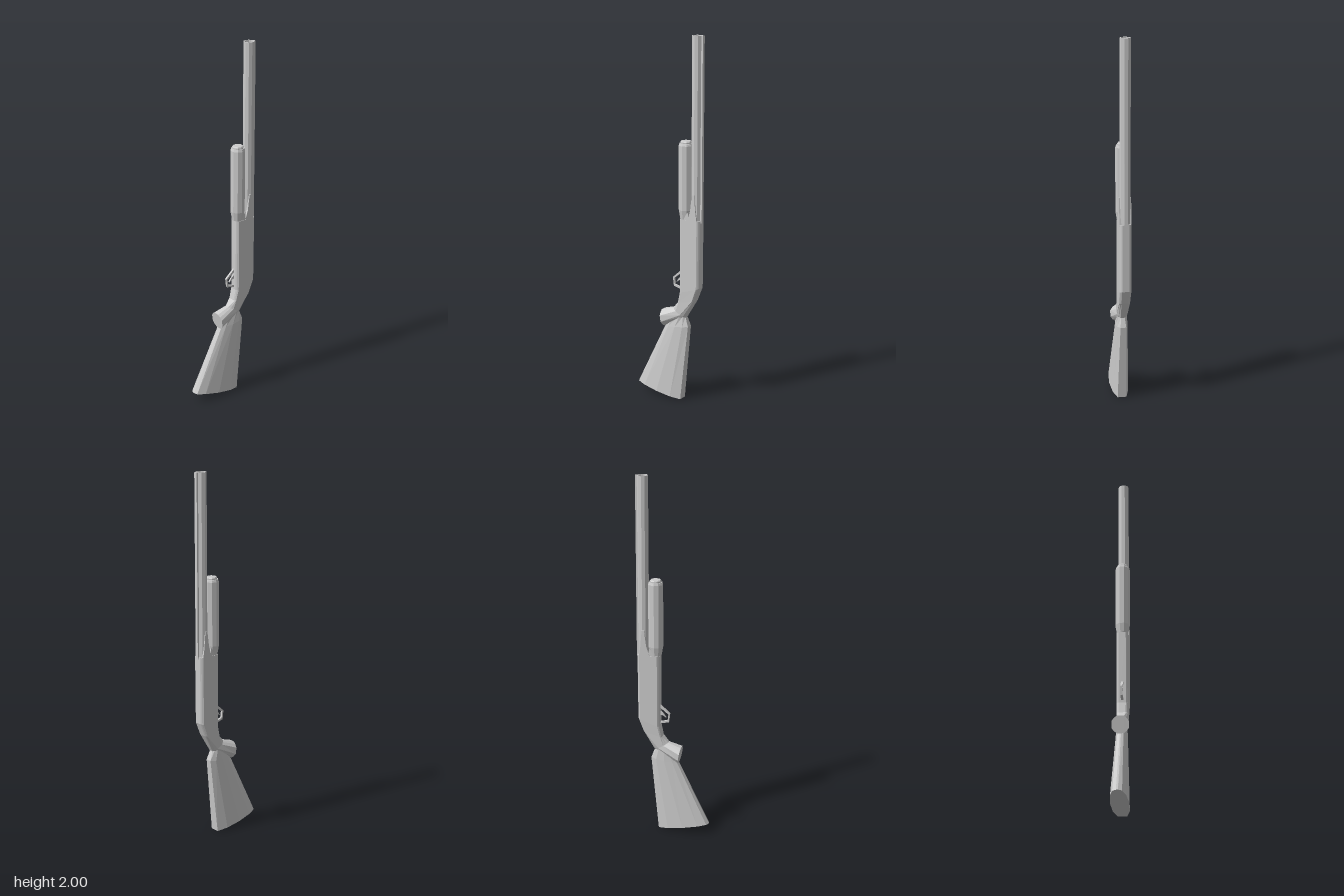
import * as THREE from 'three';

const mat = new THREE.MeshStandardMaterial({ color: 0xcccccc, flatShading: true, side: THREE.DoubleSide });

// Half cross-sections, front to back: [along depth -1..1, share of half width]
const BOXY = [[1, 0.6], [0.92, 0.82], [0.8, 1], [-0.8, 1], [-0.92, 0.82], [-1, 0.6]];
const OVAL = [[1, 0.1], [0.93, 0.5], [0.6, 0.82], [0, 1], [-0.6, 0.88], [-1, 0.5]];
const DISC = [[1, 0.38], [0.75, 0.72], [0.38, 1], [-0.38, 1], [-0.75, 0.72], [-1, 0.38]];

// Skin through sections [frontZ, frontY, backZ, backY, halfWidth, profile], top to bottom
function loft(sections) {
  const pos = [], idx = [], n = 12;
  for (const [fz, fy, bz, by, w, prof] of sections) {
    const ring = [...prof.map(([u, v]) => [u, v]), ...prof.map(([u, v]) => [u, -v]).reverse()];
    for (const [u, v] of ring) {
      const t = (1 - u) / 2;
      pos.push(v * w, fy + (by - fy) * t, fz + (bz - fz) * t);
    }
  }
  const last = (sections.length - 1) * n;
  for (let s = 0; s < last; s += n) {
    for (let i = 0; i < n; i++) {
      const j = (i + 1) % n, a = s + i, a1 = s + j, b = a + n, b1 = a1 + n;
      idx.push(b, b1, a1, b, a1, a);
    }
  }
  for (let i = 1; i < n - 1; i++) idx.push(0, i, i + 1, last, last + i + 1, last + i);
  const g = new THREE.BufferGeometry();
  g.setAttribute('position', new THREE.Float32BufferAttribute(pos, 3));
  g.setIndex(idx);
  g.computeVertexNormals();
  return g;
}

// Side outline of [z, y] points, given thickness across x
function plate(points, width, hole) {
  const toVec = (list) => list.map(([z, y]) => new THREE.Vector2(z, y));
  const shape = new THREE.Shape(toVec(points));
  if (hole) shape.holes.push(new THREE.Path(toVec(hole)));
  return new THREE.ExtrudeGeometry(shape, { depth: width, bevelEnabled: false })
    .translate(0, 0, -width / 2).rotateY(-Math.PI / 2);
}

function turned(points, sides, z) {
  return new THREE.LatheGeometry(points.map(([r, y]) => new THREE.Vector2(r, y)), sides)
    .rotateY(Math.PI / sides).translate(0, 0, z);
}

export function createModel() {
  const model = new THREE.Group();
  const add = (name, geometry, x = 0) => {
    const mesh = new THREE.Mesh(geometry, mat);
    mesh.name = name;
    mesh.position.x = x;
    model.add(mesh);
  };

  // Hollow barrel with its sighting rib
  add('barrel', turned([[0.029, 1.0], [0.029, 2], [0.024, 2], [0.024, 1.75], [0, 1.75]], 10, -0.167));
  add('barrelRib', new THREE.BoxGeometry(0.018, 0.98, 0.016).translate(0, 1.51, -0.196));

  // Sliding fore-end around the magazine tube
  add('foreEnd', turned([[0, 1.03], [0.031, 1.03], [0.04, 1.08], [0.04, 1.425], [0.036, 1.437], [0, 1.437]], 10, -0.1));
  add('magazineCap', turned([[0.031, 1.43], [0.031, 1.444], [0.027, 1.45], [0, 1.45]], 10, -0.1));

  // Receiver sweeping down through the wrist to the grip cap
  add('receiverAndGrip', loft([
    [-0.075, 1.03, -0.198, 1.03, 0.032, BOXY],
    [-0.075, 0.62, -0.196, 0.66, 0.032, BOXY],
    [-0.062, 0.56, -0.167, 0.585, 0.03, BOXY],
    [-0.03, 0.525, -0.106, 0.48, 0.03, DISC],
    [0.043, 0.502, 0.028, 0.41, 0.046, DISC],
  ]));

  // Shoulder stock
  add('stock', loft([
    [-0.02, 0.515, -0.106, 0.482, 0.026, DISC],
    [0.026, 0.412, -0.125, 0.43, 0.032, OVAL],
    [0.202, 0.055, -0.082, 0.003, 0.049, OVAL],
  ]));

  // Pointed receiver sides along the barrel, and the slide bars below them
  for (const side of [-1, 1]) {
    add('receiverEar', plate([[-0.125, 1.02], [-0.187, 1.02], [-0.178, 1.08], [-0.17, 1.17], [-0.157, 1.17], [-0.145, 1.08]], 0.012), side * 0.026);
    add('slideBar', plate([[-0.085, 1.02], [-0.135, 1.02], [-0.13, 1.075], [-0.115, 1.055]], 0.006), side * 0.027);
  }

  // Trigger guard and trigger
  add('triggerGuard', plate(
    [[-0.08, 0.745], [-0.07, 0.738], [-0.022, 0.695], [-0.028, 0.645], [-0.08, 0.632]], 0.012,
    [[-0.074, 0.725], [-0.03, 0.69], [-0.035, 0.654], [-0.074, 0.645]]));
  add('trigger', plate([[-0.08, 0.71], [-0.06, 0.695], [-0.043, 0.67], [-0.062, 0.682], [-0.08, 0.685]], 0.008));

  return model;
}
